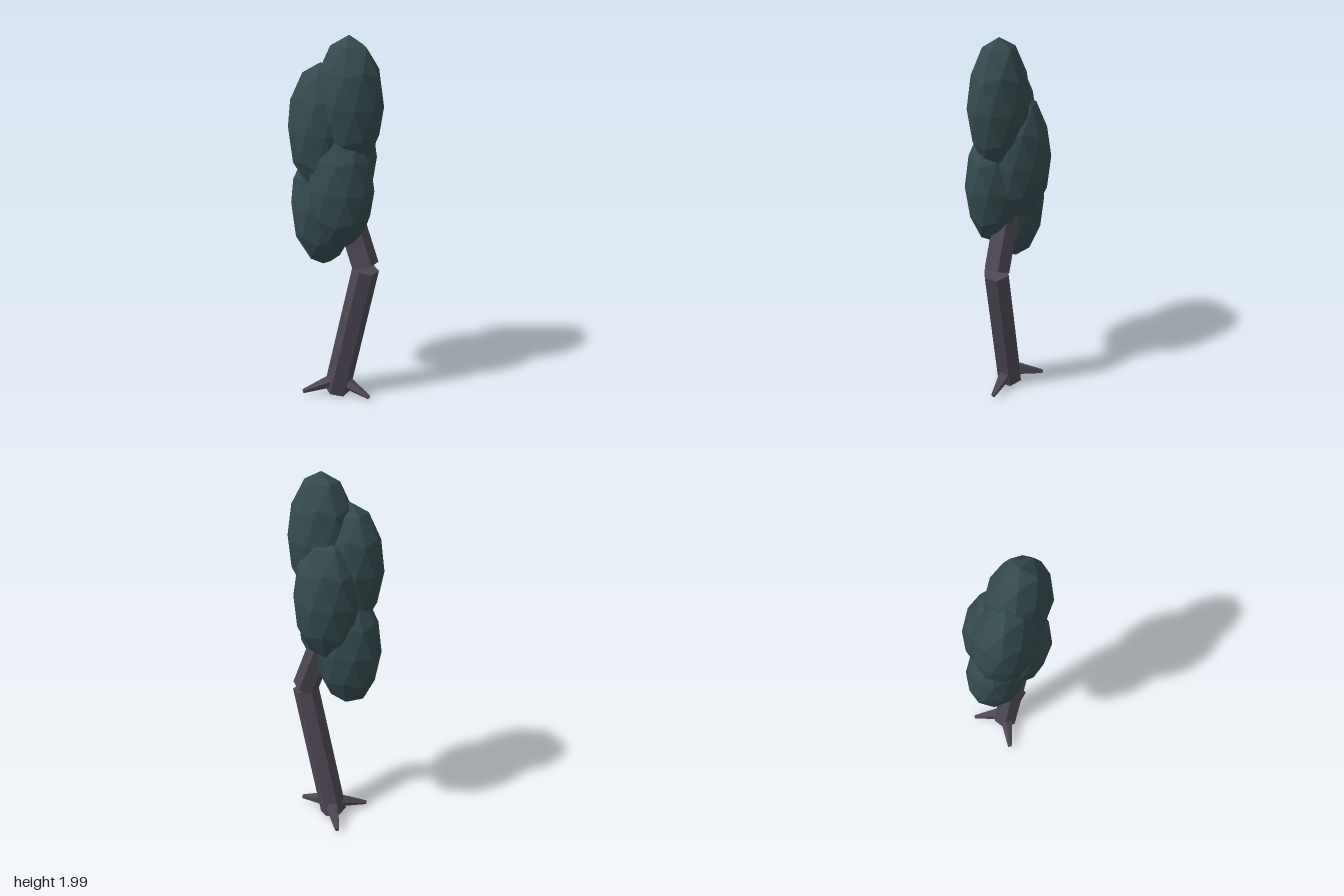
import * as THREE from 'three';

const material = (name, color) => {
  const m = new THREE.MeshStandardMaterial({ color, flatShading: true });
  m.name = name;
  return m;
};

export function createModel() {
  const tree = new THREE.Group();
  tree.name = 'tree';
  const bark = material('bark', 0x4d4753);
  const leaves = material('leaves', 0x344a4e);

  const add = (name, geometry, mat) => {
    const mesh = new THREE.Mesh(geometry, mat);
    mesh.name = name;
    tree.add(mesh);
    return mesh;
  };

  // Tapered prism running from one point to another
  const limb = (name, from, to, r0, r1, sides) => {
    const a = new THREE.Vector3(...from);
    const b = new THREE.Vector3(...to);
    const dir = b.clone().sub(a);
    const mesh = add(name, new THREE.CylinderGeometry(r1, r0, dir.length(), sides), bark);
    mesh.position.copy(a).add(b).multiplyScalar(0.5);
    mesh.quaternion.setFromUnitVectors(new THREE.Vector3(0, 1, 0), dir.normalize());
  };

  // Bent trunk in two six-sided segments
  limb('lowerTrunk', [0.003, 0.02, 0.005], [0.172, 0.81, -0.008], 0.074, 0.07, 6);
  limb('upperTrunk', [0.168, 0.825, -0.01], [0.045, 1.145, -0.012], 0.071, 0.07, 6);

  // Three spiky roots
  const rootTips = [[0.21, 0.03, 0], [-0.135, 0.03, 0.148], [-0.115, 0.03, -0.148]];
  rootTips.forEach((tip, i) => limb('root' + (i + 1), [0.015, 0.092, 0], tip, 0.046, 0.012, 5));

  // Faceted leaf clumps, each an icosphere standing on a corner and stretched upwards
  const clump = new THREE.IcosahedronGeometry(1, 1);
  clump.rotateZ(-Math.atan(2 / (1 + Math.sqrt(5))));
  clump.scale(0.178, 0.33, 0.148);
  const clumps = {
    topLeaves: [0.078, 1.67, 0.018],
    upperRightLeaves: [-0.06, 1.535, 0.053],
    backLeaves: [0.002, 1.39, -0.057],
    lowerLeftLeaves: [0.055, 1.25, 0.055],
    lowerRightLeaves: [-0.079, 1.115, 0.015],
  };
  for (const [name, position] of Object.entries(clumps)) {
    add(name, clump, leaves).position.set(...position);
  }

  return tree;
}
